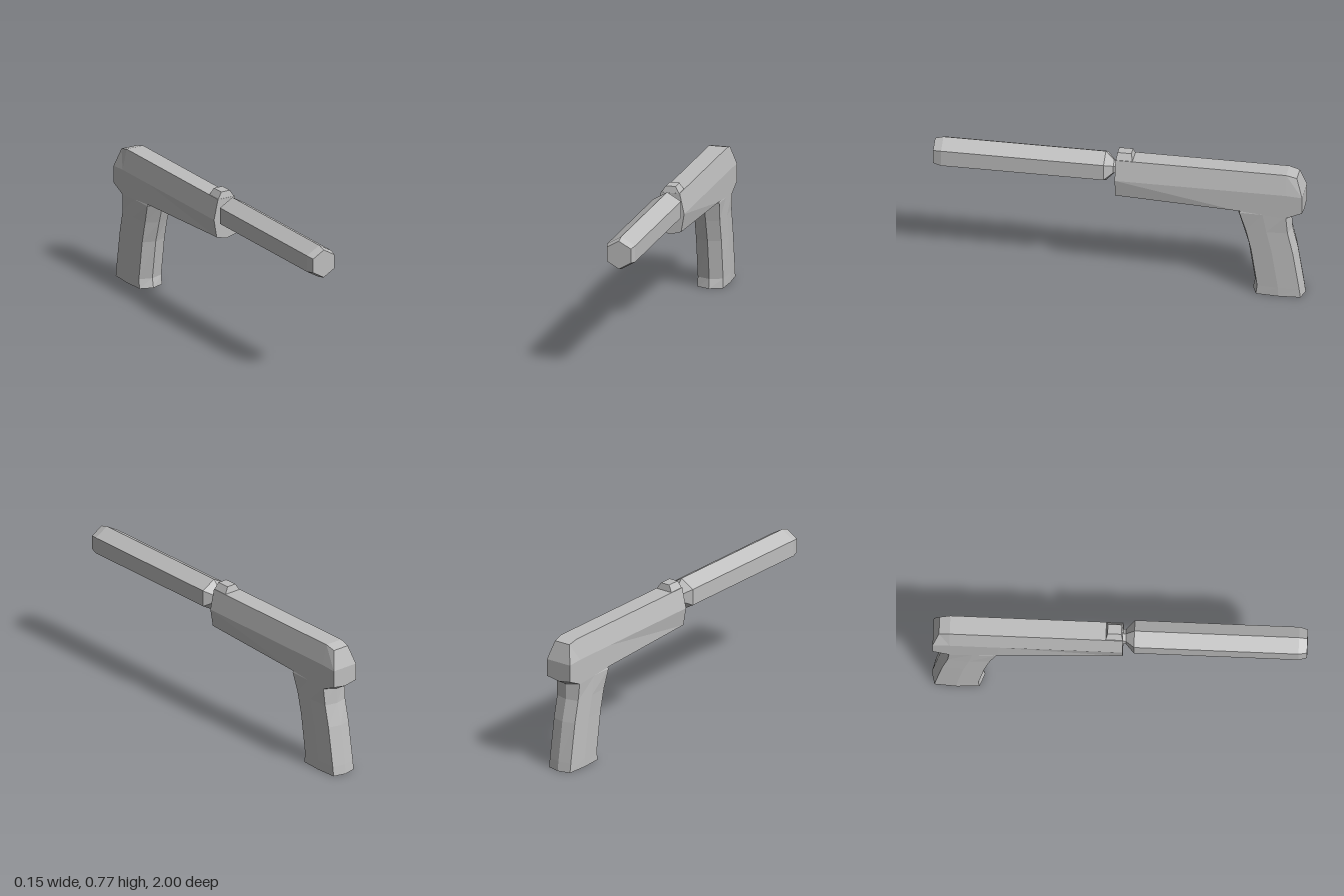
import * as THREE from 'three';

const steel = new THREE.MeshStandardMaterial({ color: 0xbebebe });
steel.name = 'grey steel';
steel.flatShading = true;

// Lofts mirrored rings. Each section lists [x, y, z] points of the +x half.
function loft(name, sections) {
  const pos = [];
  const tri = (a, b, c) => {
    const area = new THREE.Triangle(
      new THREE.Vector3(...a), new THREE.Vector3(...b), new THREE.Vector3(...c)).getArea();
    if (area > 1e-8) pos.push(...a, ...b, ...c);
  };
  const quad = (a, b, c, d) => { tri(a, b, c); tri(a, c, d); };
  const mirror = ([x, y, z]) => [-x, y, z];
  const rings = sections.map((half) => [...half, ...half.map(mirror).reverse()]);

  for (let i = 0; i < rings.length - 1; i++) {
    const r = rings[i], s = rings[i + 1], n = r.length;
    for (let j = 0; j < n; j++) {
      const k = (j + 1) % n;
      quad(r[j], r[k], s[k], s[j]);
    }
  }
  // End caps as strips between the two halves
  const first = sections[0], last = sections[sections.length - 1];
  for (let j = 0; j < first.length - 1; j++) {
    quad(first[j], mirror(first[j]), mirror(first[j + 1]), first[j + 1]);
    quad(last[j], last[j + 1], mirror(last[j + 1]), mirror(last[j]));
  }
  const geo = new THREE.BufferGeometry();
  geo.setAttribute('position', new THREE.Float32BufferAttribute(pos, 3));
  geo.computeVertexNormals();
  const mesh = new THREE.Mesh(geo, steel);
  mesh.name = name;
  return mesh;
}

export function createModel() {
  const model = new THREE.Group();
  model.name = 'pistol';

  // Hexagonal barrel tube with a chamfered muzzle and a narrow neck
  const hex = (z, s) => [
    [0, 0.668 + 0.09 * s, z], [0.077 * s, 0.668 + 0.045 * s, z],
    [0.077 * s, 0.668 - 0.045 * s, z], [0, 0.668 - 0.09 * s, z],
  ];
  model.add(loft('barrelTube', [
    hex(1, 0.86), hex(0.955, 1), hex(0.08, 1), hex(0.035, 0.45), hex(0, 0.45),
  ]));

  // Body: flat top, sloped upper sides, shallow keel, bevelled rear
  model.add(loft('body', [
    [[0.052, 0.737, 0.02], [0.077, 0.625, 0.02], [0.06, 0.525, 0.02], [0, 0.508, 0.02]],
    [[0.052, 0.737, -0.64], [0.077, 0.625, -0.64], [0.077, 0.507, -0.64], [0, 0.49, -0.64]],
    [[0.052, 0.737, -0.9], [0.077, 0.625, -0.9], [0.077, 0.485, -0.9], [0, 0.47, -0.915]],
    [[0.048, 0.722, -0.957], [0.077, 0.62, -0.99], [0.077, 0.525, -0.99], [0, 0.512, -0.99]],
  ]));

  // Front sight
  const sight = (zTop, zBase) => [[0.027, 0.772, zTop], [0.052, 0.732, zBase]];
  model.add(loft('frontSight', [sight(0.012, 0.02), sight(-0.062, -0.072)]));

  // Grip: [y, front ridge z, front corner z, back corner z, back ridge z, corner half width]
  const grip = [
    [0, -0.713, -0.74, -0.98, -0.997, 0.07],
    [0.052, -0.724, -0.747, -0.973, -0.99, 0.07],
    [0.27, -0.69, -0.714, -0.938, -0.956, 0.07],
    [0.39, -0.655, -0.685, -0.91, -0.926, 0.07],
    [0.495, -0.622, -0.652, -0.902, -0.922, 0.076],
    [0.54, -0.65, -0.67, -0.89, -0.9, 0.06],
  ].map(([y, f, fc, bc, b, w]) => [
    [0, y, f], [w, y, fc], [Math.min(w + 0.007, 0.077), y, (fc + bc) / 2], [w, y, bc], [0, y, b],
  ]);
  model.add(loft('grip', grip));

  return model;
}
